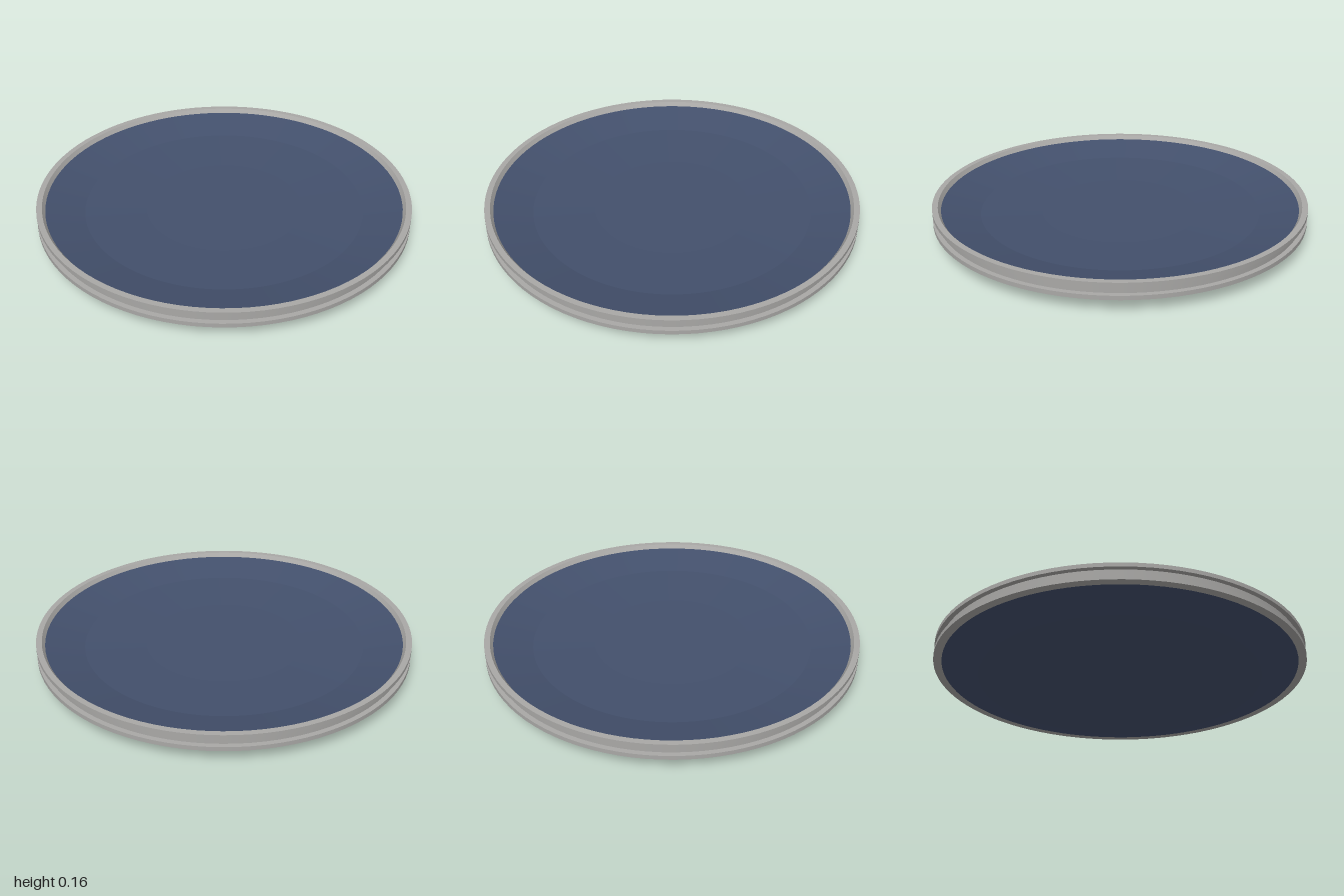
import * as THREE from 'three';

const SEGMENTS = 96;

// Lathe with a hard edge at every profile point, smooth around the axis
function addBands(group, name, profile, material) {
  const part = new THREE.Group();
  part.name = name;
  for (let i = 0; i < profile.length - 1; i++) {
    const points = [profile[i], profile[i + 1]].map(([r, y]) => new THREE.Vector2(r, y));
    const band = new THREE.Mesh(new THREE.LatheGeometry(points, SEGMENTS), material);
    band.name = `${name}Band${i + 1}`;
    part.add(band);
  }
  group.add(part);
}

export function createModel() {
  const model = new THREE.Group();
  model.name = 'shallowDish';

  const metal = new THREE.MeshStandardMaterial({ color: 0xa9a8a6 });
  metal.name = 'rim grey';
  const blue = new THREE.MeshStandardMaterial({ color: 0x43506c });
  blue.name = 'dish blue';

  // Thick shallow bowl: stepped underside, then the matching upper face
  addBands(model, 'dish', [
    [0, 0], [0.42, 0.002], [0.76, 0.021], [0.957, 0.07],
  ], blue);
  addBands(model, 'dishTop', [
    [0.955, 0.135], [0.75, 0.085], [0.42, 0.067], [0, 0.065],
  ], blue);

  // Grooved rim: lower flange, groove wall, upper flange, inner chamfer
  addBands(model, 'rim', [
    [0.957, 0.07], [1, 0.07], [1, 0.092], [0.975, 0.092],
    [0.975, 0.136], [1, 0.136], [1, 0.157], [0.97, 0.157], [0.955, 0.135],
  ], metal);

  return model;
}
